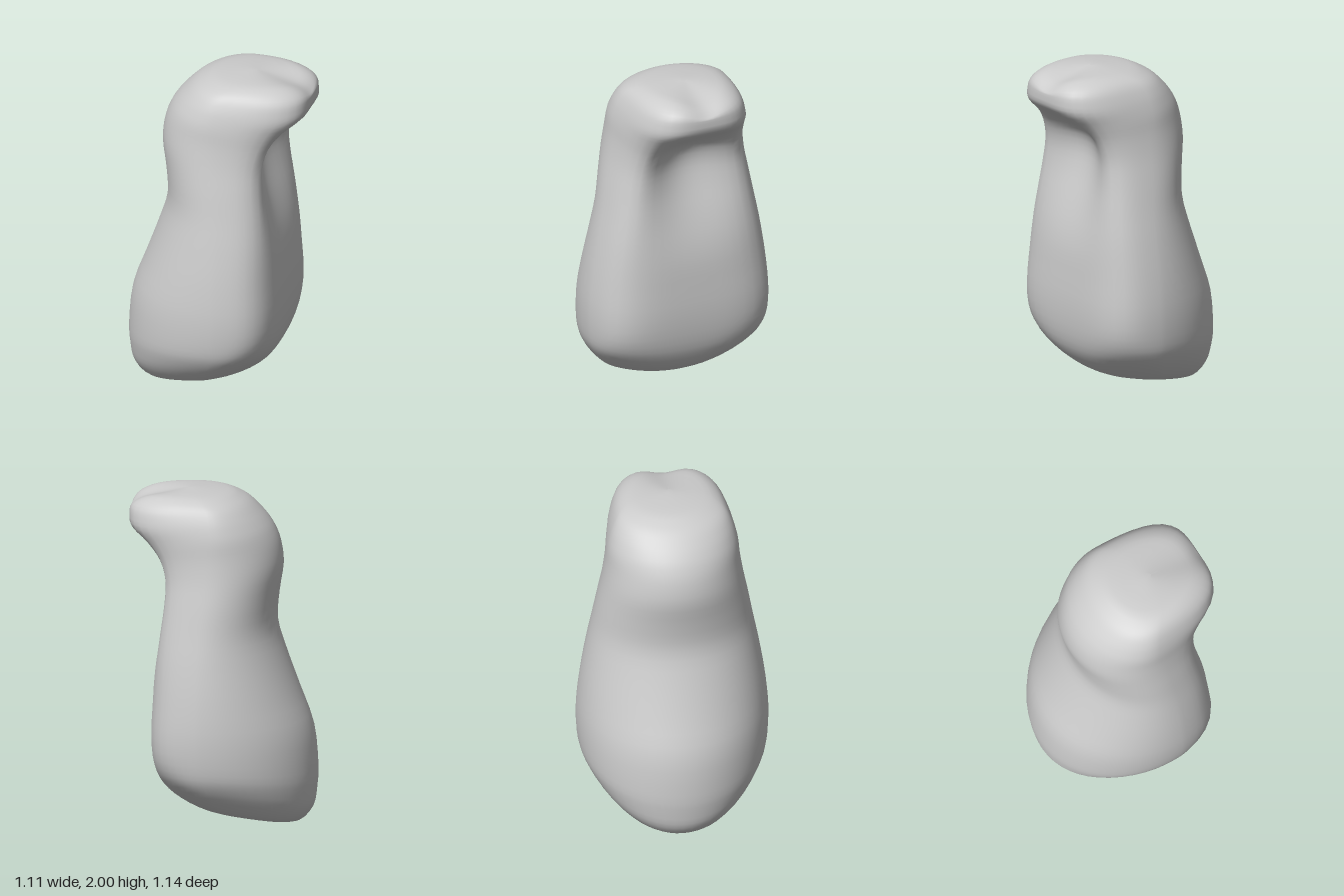
import * as THREE from 'three';

const { smoothstep, clamp } = THREE.MathUtils;

// Cross-sections from bottom to top:
// [back x, back y, front x, front y, half width, widest x]
const RINGS = [
  [-0.22, 0.02, -0.18, 0.025, 0.02, -0.2],
  [-0.36, 0.00, 0.00, 0.05, 0.20, -0.15],
  [-0.46, 0.00, 0.14, 0.08, 0.35, -0.05],
  [-0.53, 0.08, 0.26, 0.145, 0.46, 0.02],
  [-0.55, 0.19, 0.35, 0.24, 0.53, 0.06],
  [-0.555, 0.32, 0.395, 0.37, 0.56, 0.07],
  [-0.53, 0.56, 0.41, 0.56, 0.57, 0.08],
  [-0.45, 0.78, 0.40, 0.78, 0.55, 0.08],
  [-0.37, 1.00, 0.39, 1.00, 0.515, 0.08],
  [-0.315, 1.19, 0.375, 1.18, 0.48, 0.07],
  [-0.325, 1.37, 0.36, 1.34, 0.45, 0.05],
  [-0.35, 1.54, 0.36, 1.48, 0.42, 0.04],
  [-0.335, 1.67, 0.40, 1.60, 0.40, 0.04],
  [-0.30, 1.76, 0.47, 1.70, 0.39, 0.04],
  [-0.26, 1.82, 0.545, 1.785, 0.375, 0.05],
  [-0.215, 1.87, 0.555, 1.86, 0.355, 0.06],
  [-0.16, 1.92, 0.545, 1.925, 0.325, 0.08],
  [-0.10, 1.955, 0.50, 1.967, 0.28, 0.12],
  [-0.02, 1.983, 0.42, 1.988, 0.20, 0.17],
  [0.17, 1.998, 0.22, 1.998, 0.02, 0.2],
];
const ROWS = 57, SEGMENTS = 56;

// Smooth blend of the neighbouring cross-sections
function ringAt(t) {
  const f = t * (RINGS.length - 1);
  const i = Math.min(Math.floor(f), RINGS.length - 2), u = f - i;
  const at = (k) => RINGS[clamp(k, 0, RINGS.length - 1)];
  return RINGS[i].map((p, k) => {
    const q = RINGS[i + 1][k], m = (q - at(i - 1)[k]) / 2, n = (at(i + 2)[k] - p) / 2;
    return p + m * u + (3 * (q - p) - 2 * m - n) * u * u + (2 * (p - q) + m + n) * u ** 3;
  });
}

function ringPoint([xb, yb, xf, yf, w, xw], angle) {
  const c = Math.cos(angle), s = Math.sin(angle);
  // Round at the back, squarer and tapering towards the front
  const square = 2 + 2.6 * smoothstep(yf, 0.03, 0.5)
    - 0.8 * smoothstep(yf, 1.4, 1.77) - 1.2 * smoothstep(yf, 1.88, 2);
  const n = c > 0 ? square : 2;
  const r = (Math.abs(c) ** n + Math.abs(s) ** n) ** (-1 / n);
  let x = xw + c * r * (c > 0 ? xf - xw : xw - xb);
  const z = s * r * w * (1 - 0.13 * Math.max(0, c * r) ** 1.5);
  let y = yb + (yf - yb) * (x - xb) / (xf - xb);
  // Underside rises towards the sides
  y += 0.3 * z * z * (1 - smoothstep(yf, 0.1, 0.5));
  // Hollow between the two front ridges, deepest under the lip
  if (c > 0) {
    const hollow = 0.13 * smoothstep(yf, 0.8, 1.6) * (1 - smoothstep(yf, 1.56, 1.82));
    x -= hollow * Math.max(0, 1 - (s * r / 0.88) ** 2) ** 1.5;
  }
  // Groove along the top of the overhanging lip
  const groove = smoothstep(x, 0.15, 0.5) * smoothstep(y, 1.86, 1.95);
  y -= 0.045 * groove * Math.exp(-((z / 0.12) ** 2));
  return [x, y, z];
}

function bodyGeometry() {
  const points = [], index = [];
  for (let j = 0; j <= ROWS; j++) {
    const ring = ringAt(j / ROWS);
    for (let i = 0; i < SEGMENTS; i++) points.push(...ringPoint(ring, (i / SEGMENTS) * Math.PI * 2));
  }
  for (let j = 0; j < ROWS; j++) {
    for (let i = 0; i < SEGMENTS; i++) {
      const a = j * SEGMENTS + i, b = j * SEGMENTS + (i + 1) % SEGMENTS;
      index.push(a, a + SEGMENTS, b, b, a + SEGMENTS, b + SEGMENTS);
    }
  }
  // Close both ends
  const top = ROWS * SEGMENTS;
  for (let i = 1; i < SEGMENTS - 1; i++) {
    index.push(0, i, i + 1, top, top + i + 1, top + i);
  }
  const geometry = new THREE.BufferGeometry();
  geometry.setAttribute('position', new THREE.Float32BufferAttribute(points, 3));
  geometry.setIndex(index);
  geometry.computeVertexNormals();
  return geometry;
}

export function createModel() {
  const group = new THREE.Group();
  const body = new THREE.Mesh(bodyGeometry(), new THREE.MeshStandardMaterial({ color: 0xcccccc }));
  body.name = 'body';
  group.add(body);
  return group;
}
